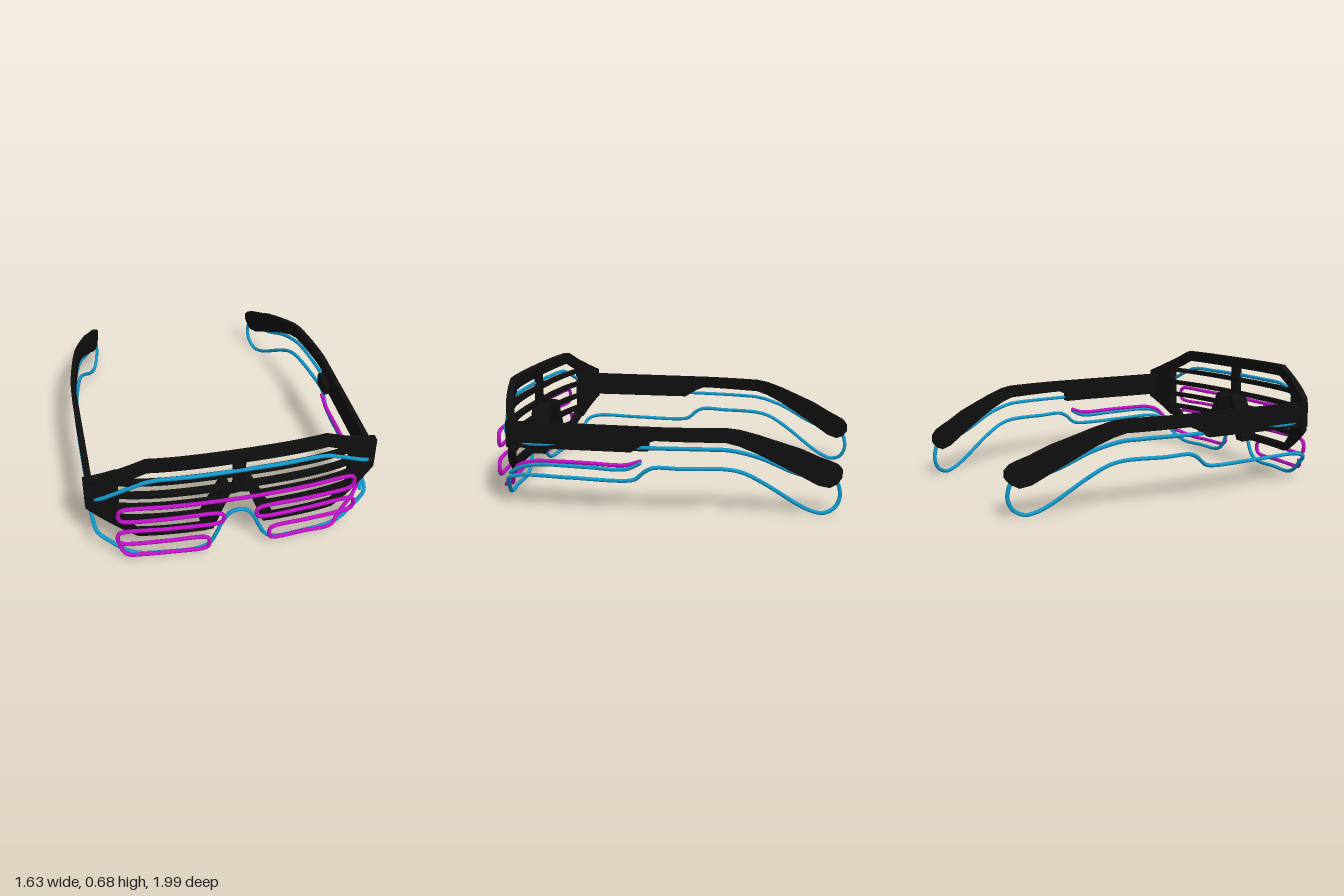
import * as THREE from 'three';

const mat = (name, color) => {
  const m = new THREE.MeshStandardMaterial({ color });
  m.name = name;
  return m;
};

export function createModel() {
  const black = mat('black plastic', 0x0f0f0f);
  const blue = mat('blue tube', 0x1199cc);
  const magenta = mat('magenta tube', 0xc010c8);
  const model = new THREE.Group();
  model.name = 'shutterGlasses';

  // Wrap of the front face, and sweep of the temples
  const frontZ = x => 0.945 - 0.06 * x * x - 0.2 * x ** 4;
  const templeX = z => (z > 0 ? 0.78 : 0.78 - 0.235 * Math.pow(-z, 1.6));
  const V = (x, y, z) => new THREE.Vector3(x, y, z);

  function add(name, geometry, material) {
    const mesh = new THREE.Mesh(geometry, material);
    mesh.name = name;
    model.add(mesh);
    return mesh;
  }

  // Curved bar through stations [s, low, high]; place(s, y, t) puts it in space
  function bar(name, stations, place) {
    const spans = stations.length - 1;
    const g = new THREE.BoxGeometry(1, 1, 1, spans * 8, 1, 1);
    const p = g.attributes.position;
    for (let i = 0; i < p.count; i++) {
      const u = (p.getX(i) + 0.5) * spans;
      const k = Math.min(Math.floor(u + 1e-6), spans - 1);
      const [s, lo, hi] = stations[k].map((a, j) => a + (stations[k + 1][j] - a) * (u - k));
      const v = place(s, lo + (hi - lo) * (p.getY(i) + 0.5), p.getZ(i));
      p.setXYZ(i, v.x, v.y, v.z);
    }
    g.computeVertexNormals();
    return add(name, g, black);
  }
  const onFront = depth => (x, y, t) => V(x, y, frontZ(x) + (t - 0.5) * depth);
  const flip = st => st.map(([x, lo, hi]) => [-x, lo, hi]).reverse();
  function frontPair(name, st, depth = 0.035) {
    bar(name + 'Left', st, onFront(depth));
    bar(name + 'Right', flip(st), onFront(depth));
  }

  // Front frame
  bar('topRail', [[-0.64, 0.55, 0.616], [-0.49, 0.625, 0.69], [0, 0.625, 0.69],
    [0.49, 0.625, 0.69], [0.64, 0.55, 0.616]], onFront(0.04));
  bar('bridge', [[-0.032, 0.42, 0.63], [0.032, 0.42, 0.63]], onFront(0.035));
  bar('noseArch', [[-0.08, 0.41, 0.45], [0, 0.42, 0.47], [0.08, 0.41, 0.45]], onFront(0.035));
  frontPair('sidePanel', [[0.64, 0.22, 0.616], [0.815, 0.34, 0.53]], 0.045);
  frontPair('lowerCorner', [[0.55, 0.165, 0.205], [0.64, 0.22, 0.3]]);
  frontPair('bottomRail', [[0.18, 0.165, 0.205], [0.55, 0.165, 0.205]]);
  frontPair('nosePad', [[0.05, 0.42, 0.46], [0.08, 0.335, 0.45], [0.14, 0.17, 0.325],
    [0.2, 0.165, 0.2]], 0.115);

  // Shutter slats
  for (const y of [0.545, 0.455, 0.37, 0.287]) {
    const inner = y > 0.45 ? 0.02 : 0.07 + (0.45 - y) * 0.48;
    frontPair('slat', [[inner, y - 0.013, y + 0.013], [0.645, y - 0.013, y + 0.013]]);
  }

  // Temples with rounded ear tips, and hinge blocks
  const temple = [[-0.995, 0.22, 0.26], [-0.97, 0.185, 0.29], [-0.93, 0.165, 0.31],
    [-0.87, 0.18, 0.335], [-0.77, 0.24, 0.385], [-0.55, 0.365, 0.465], [-0.45, 0.41, 0.495],
    [-0.38, 0.43, 0.505], [0, 0.435, 0.505], [0.06, 0.41, 0.505], [0.13, 0.365, 0.505],
    [0.84, 0.36, 0.505]];
  for (const side of [1, -1]) {
    bar(side > 0 ? 'templeLeft' : 'templeRight', temple,
      (z, y, t) => V(side * templeX(z) - t * 0.03, y, z));
    const hinge = add('hinge', new THREE.BoxGeometry(0.09, 0.16, 0.04), black);
    hinge.position.set(side * 0.75, 0.43, 0.825);
    hinge.rotation.y = side * 0.4;
  }
  const clip = add('tubeClip', new THREE.BoxGeometry(0.05, 0.07, 0.13), black);
  clip.position.set(0.755, 0.405, 0.105);

  // Glowing tubes
  function tube(name, points, material, closed = false) {
    const curve = new THREE.CatmullRomCurve3(points, closed, 'centripetal');
    add(name, new THREE.TubeGeometry(curve, points.length * 10, 0.0115, 8, closed), material);
    if (closed) return;
    for (const end of [points[0], points[points.length - 1]]) {
      add(name + 'End', new THREE.SphereGeometry(0.0115, 8, 6), material).position.copy(end);
    }
  }
  const mirror = pts => pts.map(p => V(-p.x, p.y, p.z)).reverse();

  // Blue loop around the face and both temples
  const onFace = ([x, y]) => V(x, y, frontZ(x));
  const onTemple = ([z, y]) => V(templeX(z), y, z);
  const blueHalf = [
    ...[[0, 0.575], [0.25, 0.573], [0.45, 0.57], [0.52, 0.552], [0.64, 0.49], [0.75, 0.425]].map(onFace),
    ...[[0.78, 0.39], [0.4, 0.39], [0.05, 0.39], [-0.3, 0.39], [-0.4, 0.385], [-0.55, 0.345],
      [-0.77, 0.245], [-0.95, 0.215], [-0.985, 0.12], [-0.96, 0.05], [-0.9, 0.02], [-0.84, 0.033],
      [-0.77, 0.07], [-0.58, 0.2], [-0.47, 0.26], [-0.38, 0.28], [-0.15, 0.28], [0.01, 0.28],
      [0.06, 0.255], [0.11, 0.212], [0.16, 0.2], [0.5, 0.2], [0.77, 0.2]].map(onTemple),
    ...[[0.765, 0.175], [0.7, 0.115], [0.62, 0.055], [0.55, 0.032], [0.4, 0.03], [0.22, 0.032],
      [0.16, 0.065], [0.12, 0.14], [0.09, 0.215], [0.05, 0.273], [0, 0.29]].map(onFace),
  ];
  tube('blueOutline', [...blueHalf, ...mirror(blueHalf).slice(1, -1)], blue, true);
  tube('blueFeed', [V(0.74, 0.2, 0.84), V(0.755, 0.24, 0.77), V(0.755, 0.258, 0.68),
    V(0.755, 0.258, 0.4), V(0.755, 0.258, 0.17), V(0.755, 0.295, 0.09)], blue);

  // Magenta zigzag across both lenses
  const turn = (x, y1, y2, d) => [[x - 0.035 * d, y1], [x - 0.01 * d, y1 - 0.01], [x, y1 - 0.03],
    [x, y2 + 0.03], [x - 0.01 * d, y2 + 0.01], [x - 0.035 * d, y2]];
  const zigzag = [
    [0, 0.41], [0.2, 0.41], [0.4, 0.41], ...turn(0.655, 0.41, 0.32, 1),
    [0.4, 0.32], ...turn(0.09, 0.32, 0.245, -1),
    [0.4, 0.245], ...turn(0.665, 0.245, 0.155, 1),
    [0.4, 0.155], ...turn(0.17, 0.155, 0.065, -1),
    [0.38, 0.065], [0.54, 0.065],
  ].map(([x, y]) => V(x, y, 0.983 - 0.105 * x * x));
  const rightEnd = [V(-0.655, 0.12, 0.91), V(-0.64, 0.09, 0.93), V(-0.61, 0.068, 0.943)];
  const leftEnd = [V(0.59, 0.09, 0.91), V(0.64, 0.11, 0.87), V(0.7, 0.17, 0.84),
    V(0.745, 0.245, 0.79), V(0.75, 0.275, 0.7), V(0.75, 0.28, 0.6), V(0.75, 0.28, 0.4),
    V(0.75, 0.28, 0.17), V(0.75, 0.305, 0.09)];
  tube('magentaZigzag', [...rightEnd, ...mirror(zigzag), ...zigzag.slice(1), ...leftEnd], magenta);

  return model;
}
